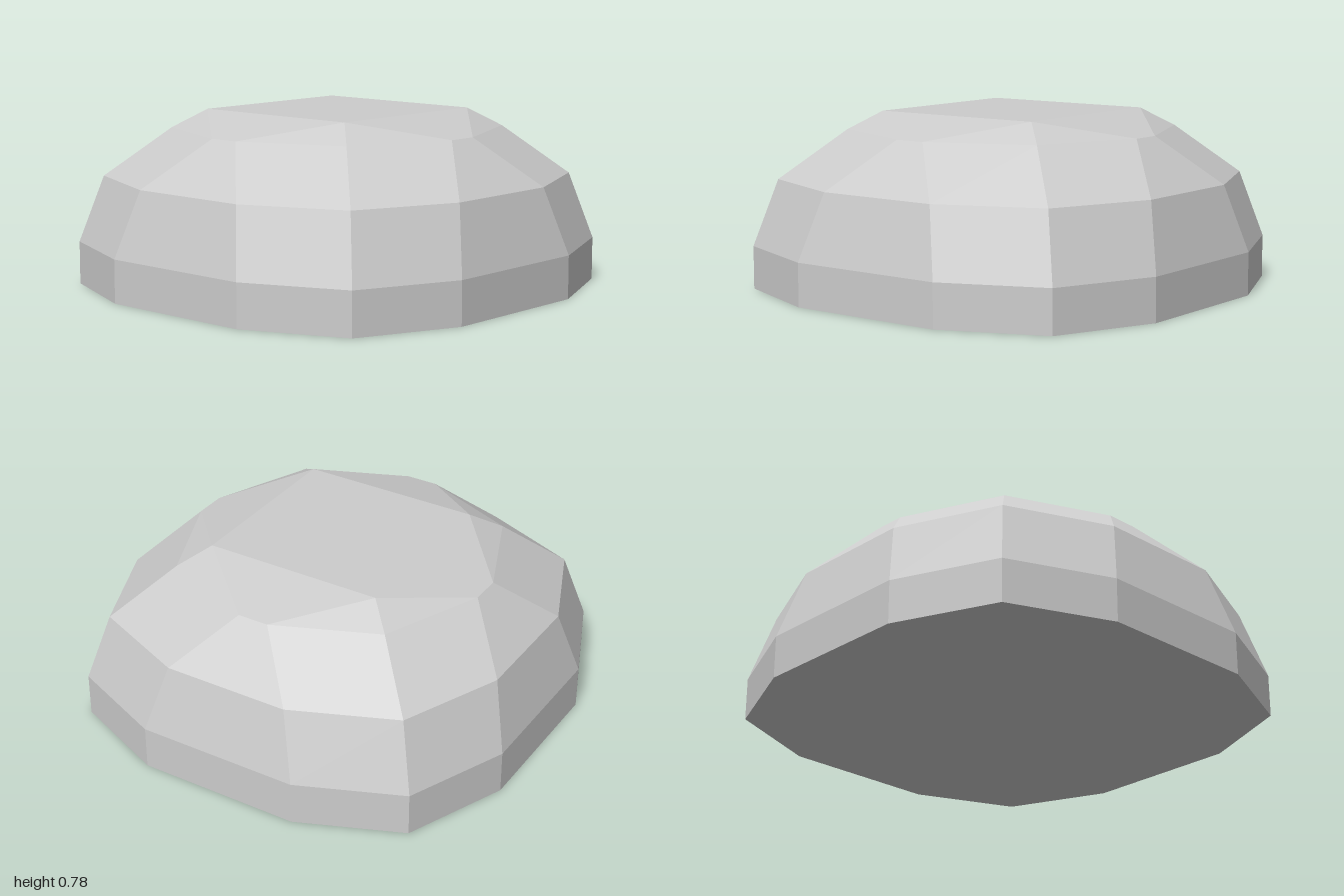
import * as THREE from 'three';

// One level of the dome: flat sides of half-width a at distance s, corners at (c, c)
const levels = [
  { y: 0, a: 0.365, s: 1, c: 0.813 },
  { y: 0.19, a: 0.365, s: 1, c: 0.813 },
  { y: 0.485, a: 0.285, s: 0.92, c: 0.733 },
  { y: 0.7, a: 0.07, s: 0.705, c: 0.518 },
  { y: 0.78, a: 0.407, s: 0.407, c: 0.407 }, // collapses to a square
];

// Twelve points: three per quadrant, turned four times about y
function ring({ y, a, s, c }) {
  const points = [];
  for (let q = 0; q < 4; q++) {
    for (const [x, z] of [[-a, s], [a, s], [c, c]]) {
      points.push(new THREE.Vector3(x, y, z).applyAxisAngle(new THREE.Vector3(0, 1, 0), q * Math.PI / 2));
    }
  }
  return points;
}

function meshFromTriangles(name, triangles, material) {
  const points = triangles
    .filter(([p, q, r]) => new THREE.Triangle(p, q, r).getArea() > 1e-6)
    .flat();
  const geometry = new THREE.BufferGeometry().setFromPoints(points);
  geometry.computeVertexNormals();
  const mesh = new THREE.Mesh(geometry, material);
  mesh.name = name;
  return mesh;
}

// Fan from the centre; reversed when facing down
function cap(points, faceUp) {
  const centre = new THREE.Vector3(0, points[0].y, 0);
  return points.map((p, i) => {
    const next = points[(i + 1) % points.length];
    return faceUp ? [centre, p, next] : [centre, next, p];
  });
}

export function createModel() {
  const group = new THREE.Group();
  group.name = 'facetedDome';
  const stone = new THREE.MeshStandardMaterial({ color: 0xcccccc, flatShading: true });
  stone.name = 'light grey stone';

  // Faceted bands between neighbouring levels
  const rings = levels.map(ring);
  const names = ['baseBand', 'lowerBand', 'upperBand', 'crownBand'];
  names.forEach((name, k) => {
    const low = rings[k], high = rings[k + 1];
    const triangles = [];
    for (let i = 0; i < low.length; i++) {
      const j = (i + 1) % low.length;
      triangles.push([low[i], low[j], high[j]], [low[i], high[j], high[i]]);
    }
    group.add(meshFromTriangles(name, triangles, stone));
  });

  // Flat top and underside
  group.add(meshFromTriangles('topFace', cap(rings[4], true), stone));
  group.add(meshFromTriangles('underside', cap(rings[0], false), stone));
  return group;
}
